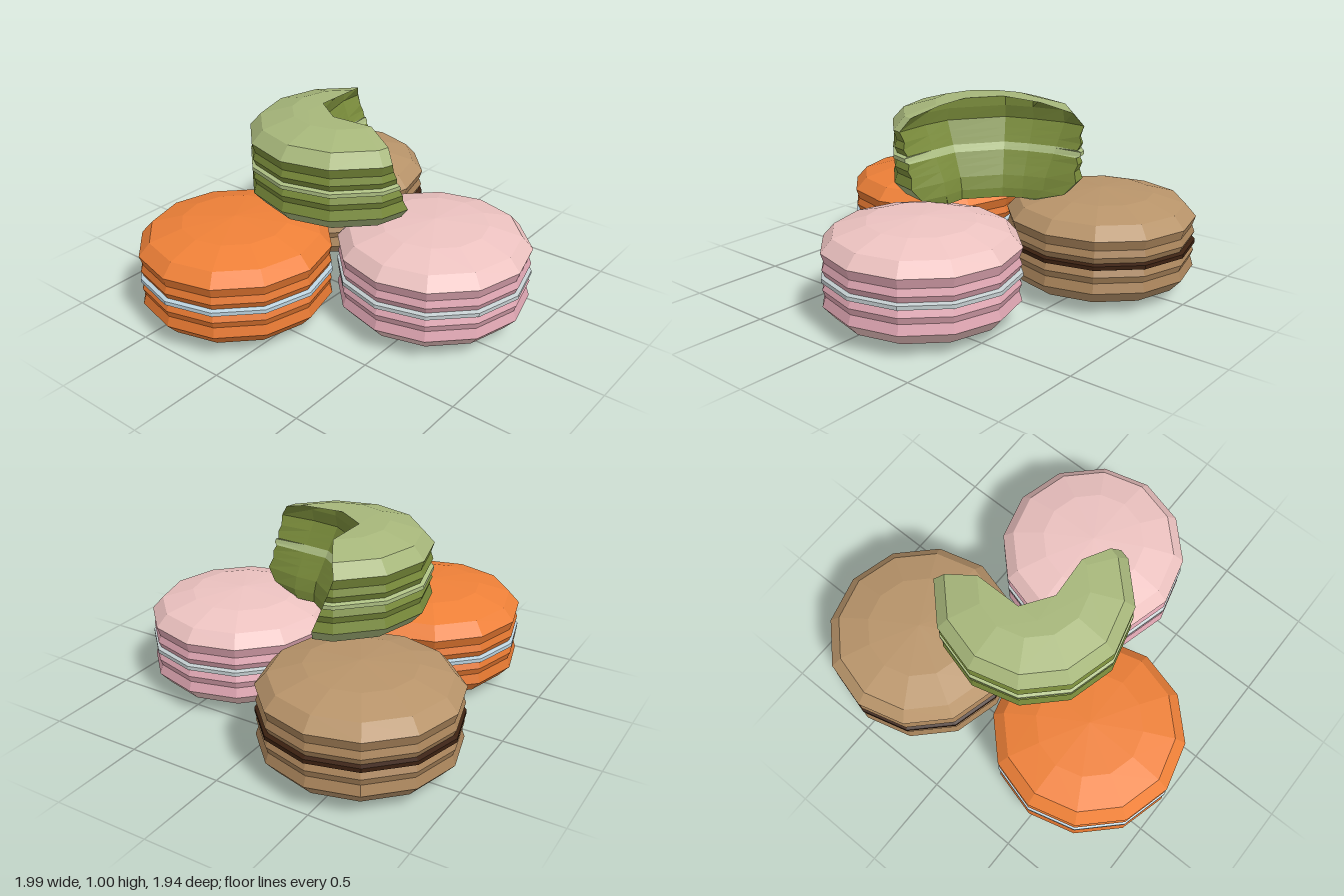
import * as THREE from 'three';

// Half profile of a biscuit: [height above the filling's middle, radius]
const SKIRT = [[0.018, 0.475], [0.05, 0.49], [0.085, 0.477], [0.135, 0.493]];
const DOME = [[0.135, 0.493], [0.2, 0.435], [0.248, 0.27]];
const FILLING = [[-0.018, 0.475], [-0.01, 0.495], [0.01, 0.495], [0.018, 0.475]];
const SIDES = 12;

const flip = (profile) => profile.map(([y, r]) => [-y, r]).reverse();
const material = (color) =>
  new THREE.MeshStandardMaterial({ color, flatShading: true, side: THREE.DoubleSide });

function addMesh(group, name, geometry, color) {
  const mesh = new THREE.Mesh(geometry, material(color));
  mesh.name = name;
  group.add(mesh);
}

// Whole biscuit: two domed shells with ruffled skirts around a thin filling
function wholeBiscuit(name, x, y, z, colors) {
  const group = new THREE.Group();
  group.name = name;
  group.position.set(x, y, z);
  const lathe = (profile) =>
    new THREE.LatheGeometry(profile.map(([h, r]) => new THREE.Vector2(r, h)), SIDES);
  const dome = [...DOME, [0.268, 0]];
  addMesh(group, 'upperDome', lathe(dome), colors.dome);
  addMesh(group, 'upperSkirt', lathe(SKIRT), colors.skirt);
  addMesh(group, 'filling', lathe(FILLING), colors.filling);
  addMesh(group, 'lowerSkirt', lathe(flip(SKIRT)), colors.skirt);
  addMesh(group, 'lowerDome', lathe(flip(dome)), colors.dome);
  return group;
}

// Bite outline in (x, z) at the top and at the bottom of the biscuit
const BITE_TOP = [[0.43, -0.24], [0.3, -0.24], [0.14, -0.2], [0, -0.15],
  [-0.17, 0.1], [-0.185, 0.25], [-0.18, 0.44]];
const BITE_BOTTOM = [[0.44, -0.13], [0.28, -0.11], [0.18, -0.07], [0.09, -0.02],
  [-0.04, 0.15], [-0.04, 0.27], [-0.08, 0.46]];
const BITE_FACES = BITE_TOP.length - 1;

// Distance from the centre to the edge of the twelve-sided outline
function edgeRadius(r, angle) {
  const step = (2 * Math.PI) / SIDES;
  const a = ((angle % step) + step) % step;
  return (r * Math.cos(step / 2)) / Math.cos(a - step / 2);
}

// Cross-section at one height: bite points first, then the outer arc
function bittenLoop([y, r]) {
  const t = y > 0.19 ? 0 : Math.min(1, (0.135 - y) / 0.3 * 1.1 - 0.1);
  const loop = BITE_TOP.map((p, i) => {
    const x = THREE.MathUtils.lerp(p[0], BITE_BOTTOM[i][0], t);
    const z = THREE.MathUtils.lerp(p[1], BITE_BOTTOM[i][1], t);
    const angle = Math.atan2(z, x);
    const edge = edgeRadius(r, angle);
    const end = i === 0 || i === BITE_FACES;
    const d = end ? edge : Math.min(Math.hypot(x, z), edge);
    return [Math.cos(angle) * d, y, Math.sin(angle) * d];
  });
  for (let deg = 120; deg <= 330; deg += 30) {
    const a = THREE.MathUtils.degToRad(deg);
    loop.push([Math.cos(a) * r, y, Math.sin(a) * r]);
  }
  return loop;
}

function triangles(list) {
  const geometry = new THREE.BufferGeometry();
  geometry.setAttribute('position', new THREE.Float32BufferAttribute(list.flat(2), 3));
  geometry.computeVertexNormals();
  return geometry;
}

// Wall strips between successive loops, either the bite or the outer arc
function wall(profile, bite) {
  const loops = profile.map(bittenLoop);
  const n = loops[0].length;
  const out = [];
  for (let k = 0; k < loops.length - 1; k++) {
    for (let i = bite ? 0 : BITE_FACES; i < (bite ? BITE_FACES : n); i++) {
      const j = (i + 1) % n;
      const lo = loops[k], hi = loops[k + 1];
      out.push([lo[i], hi[i], lo[j]], [lo[j], hi[i], hi[j]]);
    }
  }
  return triangles(out);
}

function cap(level, center, up) {
  const loop = bittenLoop(level);
  return triangles(loop.map((p, i) => {
    const q = loop[(i + 1) % loop.length];
    return up ? [center, q, p] : [center, p, q];
  }));
}

// Biscuit with a large bite out of its front left
function bittenBiscuit(name, x, y, z, colors) {
  const group = new THREE.Group();
  group.name = name;
  group.position.set(x, y, z);
  const outer = [['upperDome', DOME, colors.dome], ['upperSkirt', SKIRT, colors.skirt],
    ['filling', FILLING, colors.filling], ['lowerSkirt', flip(SKIRT), colors.skirt],
    ['lowerDome', flip(DOME), colors.dome]];
  for (const [part, profile, color] of outer) {
    addMesh(group, part, wall(profile, false), color);
    const biteColor = part === 'filling' ? colors.filling : colors.skirt;
    addMesh(group, part + 'Bite', wall(profile, true), biteColor);
  }
  const top = DOME[DOME.length - 1];
  addMesh(group, 'topCap', cap(top, [-0.13, 0.25, -0.13], true), colors.dome);
  addMesh(group, 'bottomCap', cap([-top[0], top[1]], [-0.08, -0.262, -0.08], false), colors.dome);
  return group;
}

export function createModel() {
  const model = new THREE.Group();
  model.name = 'sandwichBiscuits';
  model.add(
    wholeBiscuit('orangeBiscuit', -0.5, 0.278, -0.33,
      { dome: 0xee8038, skirt: 0xe27630, filling: 0xb9d0dc }),
    wholeBiscuit('brownBiscuit', 0.5, 0.278, -0.475,
      { dome: 0xb8946a, skirt: 0xa8835a, filling: 0x3a2010 }),
    wholeBiscuit('pinkBiscuit', 0.1, 0.278, 0.473,
      { dome: 0xecc2c0, skirt: 0xdfa6b2, filling: 0xc2ccce }),
    bittenBiscuit('bittenGreenBiscuit', 0.06, 0.76, -0.07,
      { dome: 0xa6b67a, skirt: 0x788a3a, filling: 0xacbe82 }),
  );
  return model;
}
